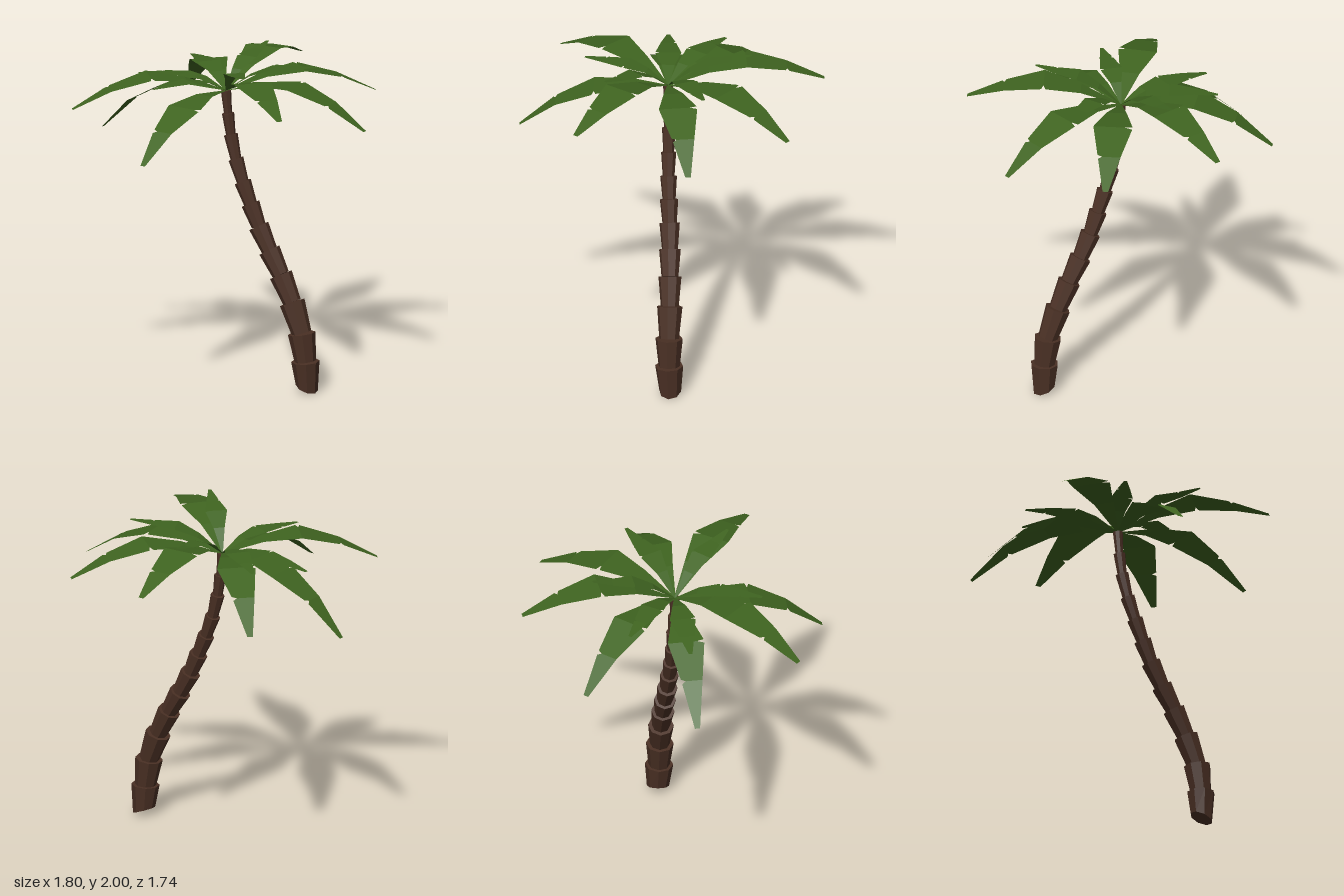
import * as THREE from 'three';

const bark = new THREE.MeshStandardMaterial({ color: 0x4a3024, flatShading: true });
const leaf = new THREE.MeshStandardMaterial({ color: 0x3f6420, flatShading: true, side: THREE.DoubleSide });
const CROWN = new THREE.Vector3(-0.02, 1.79, -0.01);

// Trunk joints: x, y, z, radius of the flared rim
const JOINTS = [
  [0.09, 0.026, 0.545, 0], [0.083, 0.19, 0.54, 0.085], [0.078, 0.36, 0.515, 0.083],
  [0.07, 0.54, 0.445, 0.077], [0.057, 0.7, 0.365, 0.07], [0.043, 0.84, 0.285, 0.066],
  [0.028, 0.98, 0.212, 0.062], [0.015, 1.11, 0.157, 0.056], [0.003, 1.24, 0.105, 0.051],
  [-0.005, 1.375, 0.057, 0.046], [-0.01, 1.52, 0.02, 0.042], [-0.015, 1.65, 0.002, 0.037],
  [-0.02, 1.79, -0.01, 0.031],
];

// Fronds: tip x, y, z and height at the widest point
const LARGE = [
  [-0.17, 1.44, -0.87, 1.77], [0.5, 1.6, -0.77, 1.87], [0.89, 1.81, -0.235, 1.955],
  [0.79, 1.72, 0.46, 1.9], [0.255, 1.64, 0.865, 1.87], [-0.44, 1.83, 0.81, 1.95],
  [-0.9, 1.52, 0.12, 1.78], [-0.77, 1.72, -0.57, 1.905],
];
const SMALL = [
  [-0.125, 1.81, -0.62, 1.85], [0.24, 1.87, -0.53, 1.9], [0.47, 1.98, -0.12, 1.945],
  [0.28, 1.96, 0.47, 1.945], [-0.33, 2.0, 0.41, 1.965], [-0.545, 1.88, -0.12, 1.89],
];

// One flared trunk section between two joints
function trunkSection(a, b, first) {
  const p = new THREE.Vector3(a[0], a[1], a[2]);
  const q = new THREE.Vector3(b[0], b[1], b[2]);
  const axis = q.clone().sub(p);
  const geo = new THREE.CylinderGeometry(b[3], b[3] * 0.78, axis.length(), 8);
  geo.applyQuaternion(new THREE.Quaternion().setFromUnitVectors(new THREE.Vector3(0, 1, 0), axis.normalize()));
  geo.translate((p.x + q.x) / 2, (p.y + q.y) / 2, (p.z + q.z) / 2);
  if (first) { // slanted foot
    const pos = geo.attributes.position;
    for (let i = 0; i < pos.count; i++) {
      if (pos.getY(i) < 0.1) pos.setY(i, Math.max(0, 0.026 - (pos.getZ(i) - p.z) * 0.39));
    }
  }
  const mesh = new THREE.Mesh(geo, bark);
  mesh.name = 'trunkSection';
  return mesh;
}

// Arched blade with a slit in each edge
function frond([tx, ty, tz, midY], name) {
  const along = new THREE.Vector3(tx - CROWN.x, 0, tz - CROWN.z);
  const length = along.length();
  along.normalize();
  const left = new THREE.Vector3(along.z, 0, -along.x);
  const T = [0, 0.26, 0.5, 0.76, 1];
  const Y = [CROWN.y, (CROWN.y + midY) / 2 + 0.025, midY, midY - 0.38 * (midY - ty), ty];
  const W = [0.006, 0.064, 0.127, 0.073, 0.018].map((w) => w * length);
  const lerpAt = (list, t) => {
    let i = 0;
    while (i < T.length - 2 && t > T[i + 1]) i++;
    return THREE.MathUtils.lerp(list[i], list[i + 1], (t - T[i]) / (T[i + 1] - T[i]));
  };
  const point = (t, s) => {
    const v = CROWN.clone().addScaledVector(along, t * length).addScaledVector(left, s * lerpAt(W, t));
    v.y = lerpAt(Y, t);
    return v;
  };
  const pts = [];
  const quad = (a, b, c, d, side) => {
    if (side > 0) pts.push(a, b, c, a, c, d);
    else pts.push(a, c, b, a, d, c);
  };
  for (const side of [1, -1]) {
    const slit = side > 0 ? 2 : 3;
    for (let i = 0; i < T.length - 1; i++) {
      const t0 = T[i], t1 = T[i + 1];
      const e0 = t0 + (i === slit ? 0.014 : 0);
      const e1 = t1 - (i + 1 === slit ? 0.014 : 0);
      quad(point(t0, 0), point(t1, 0), point(t1, 0.6 * side), point(t0, 0.6 * side), side);
      quad(point(t0, 0.6 * side), point(t1, 0.6 * side), point(e1, side), point(e0, side), side);
    }
  }
  const geo = new THREE.BufferGeometry().setFromPoints(pts);
  geo.computeVertexNormals();
  const mesh = new THREE.Mesh(geo, leaf);
  mesh.name = name;
  return mesh;
}

export function createModel() {
  const tree = new THREE.Group();
  tree.name = 'palmTree';

  const trunk = new THREE.Group();
  trunk.name = 'trunk';
  for (let i = 0; i < JOINTS.length - 1; i++) trunk.add(trunkSection(JOINTS[i], JOINTS[i + 1], i === 0));

  const crown = new THREE.Group();
  crown.name = 'crown';
  LARGE.forEach((f) => crown.add(frond(f, 'largeFrond')));
  SMALL.forEach((f) => crown.add(frond(f, 'smallFrond')));

  tree.add(trunk, crown);
  return tree;
}
